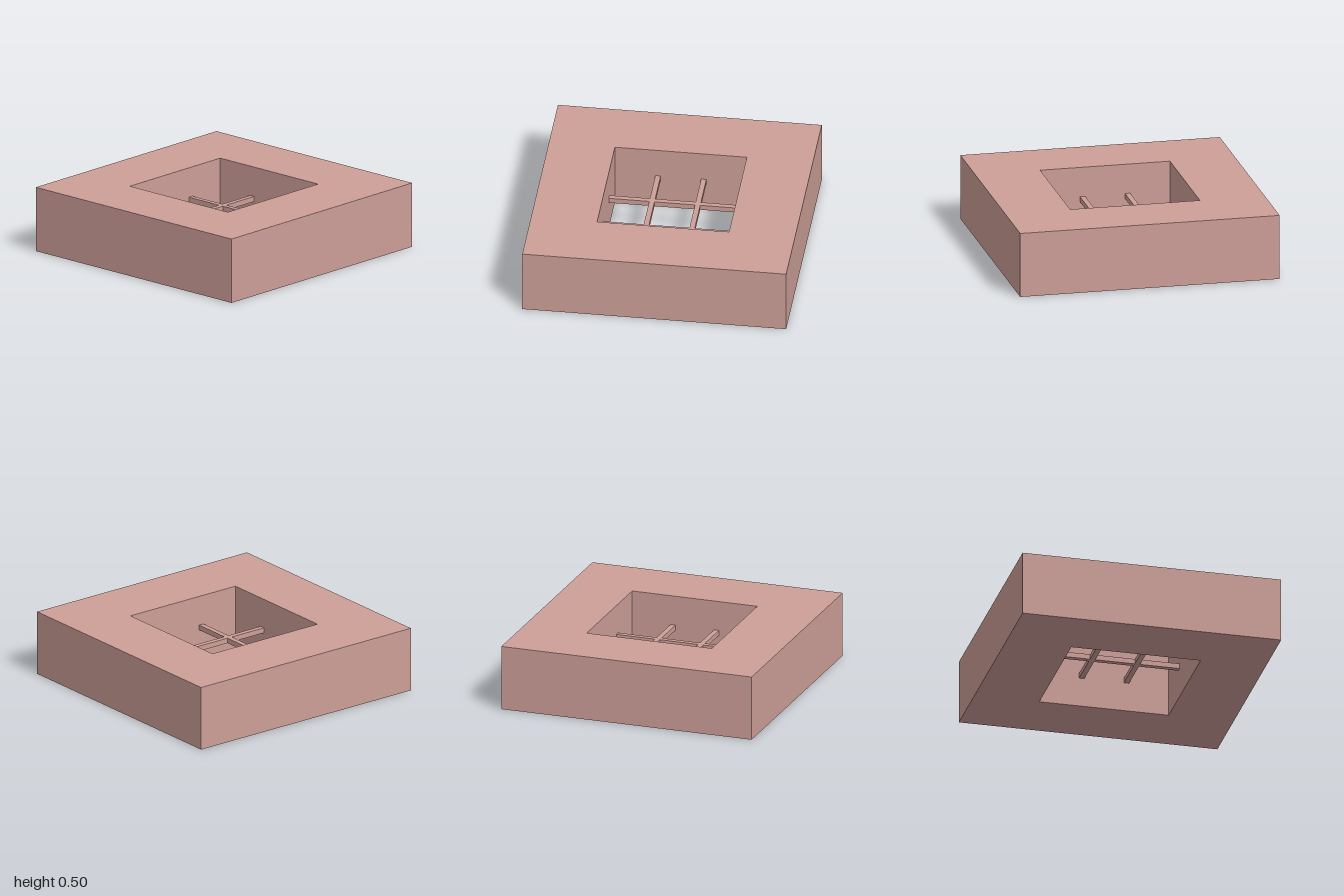
import * as THREE from 'three';

export function createModel() {
  const group = new THREE.Group();
  const clay = new THREE.MeshStandardMaterial({ color: 0xcd9f98 });
  clay.name = 'dusty pink';

  // Square block with a square shaft running straight through it
  const square = (Type, h) => new Type([[-h, -h], [h, -h], [h, h], [-h, h]].map(([x, y]) => new THREE.Vector2(x, y)));
  const outline = square(THREE.Shape, 1);
  outline.holes.push(square(THREE.Path, 0.5));
  const blockGeometry = new THREE.ExtrudeGeometry(outline, { depth: 0.5, bevelEnabled: false });
  blockGeometry.rotateX(-Math.PI / 2);
  const block = new THREE.Mesh(blockGeometry, clay);
  block.name = 'block';
  group.add(block);

  // Grate at mid height: two bars and two cross bars leave nine equal openings
  const bar = 0.04;
  const gap = (1 - 2 * bar) / 3;
  const pitch = gap + bar;
  const grate = new THREE.Group();
  grate.name = 'grate';
  grate.position.y = 0.25;
  group.add(grate);

  const addBar = (name, width, depth, x, z) => {
    const mesh = new THREE.Mesh(new THREE.BoxGeometry(width, bar, depth), clay);
    mesh.name = name;
    mesh.position.set(x, 0, z);
    grate.add(mesh);
  };
  for (const side of [-0.5, 0.5]) {
    addBar('grateBar', 1, bar, 0, side * pitch);
    // Cross bars are cut into lengths that fit between the long bars
    for (const row of [-1, 0, 1]) addBar('grateCrossBar', bar, gap, side * pitch, row * pitch);
  }
  return group;
}
